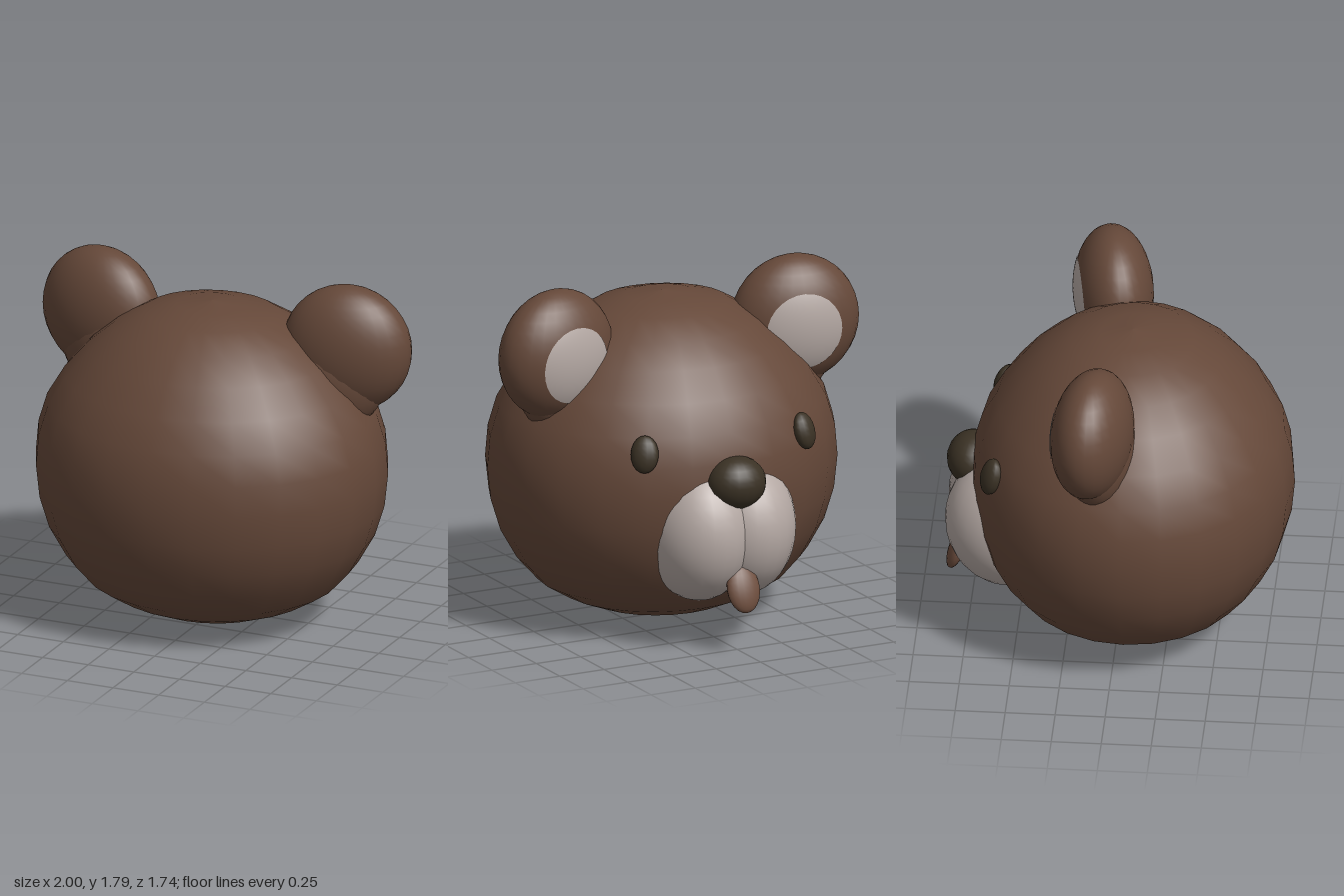
import * as THREE from 'three';

export function createModel() {
  const group = new THREE.Group();
  const mat = (name, color) => new THREE.MeshStandardMaterial({ name, color });
  const brown = mat('brown fur', 0x654839);
  const cream = mat('pale fur', 0xb5a9a4);
  const dark = mat('dark nose and eyes', 0x3a3124);
  const pink = mat('tongue brown', 0x6e4e3e);

  function add(name, geometry, material, pos, rot = [0, 0, 0]) {
    const mesh = new THREE.Mesh(geometry, material);
    mesh.name = name;
    mesh.position.set(...pos);
    mesh.rotation.set(...rot);
    group.add(mesh);
    return mesh;
  }
  const ellipsoid = (rx, ry, rz, w = 28, h = 18) =>
    new THREE.SphereGeometry(1, w, h).scale(rx, ry, rz);

  // Head: rounded profile, fuller at the bottom, slightly wider than deep
  const profile = [
    [0, 0], [0.215, 0.025], [0.39, 0.06], [0.56, 0.12], [0.71, 0.2], [0.83, 0.32],
    [0.925, 0.47], [0.98, 0.63], [1, 0.8], [0.985, 0.96], [0.935, 1.11], [0.835, 1.26],
    [0.7, 1.4], [0.555, 1.51], [0.38, 1.6], [0.2, 1.64], [0, 1.66],
  ].map(([r, y]) => new THREE.Vector2(r, y));
  add('head', new THREE.LatheGeometry(profile, 24).scale(0.9, 1, 0.81), brown, [0, 0, 0.06]);

  // Paired parts; the face looks towards -z
  for (const s of [-1, 1]) {
    const side = s > 0 ? 'left' : 'right';
    const yaw = s * 0.18;
    const earPos = [s * 0.673, 1.46, -0.09];
    add(side + 'Ear', ellipsoid(0.33, 0.33, 0.2), brown, earPos, [0, yaw, 0]);
    add(side + 'EarBase', ellipsoid(0.3, 0.29, 0.18), brown, [s * 0.58, 1.31, -0.05], [0, yaw, 0]);

    // Pale inner ear: a shallow cap lying on the front of the ear
    const cap = new THREE.SphereGeometry(1.015, 28, 8, 0, Math.PI * 2, 0, 0.63)
      .rotateX(-Math.PI / 2 - 0.1)
      .scale(0.33, 0.33, 0.2);
    add(side + 'InnerEar', cap, cream, earPos, [0, yaw, 0]);

    // Muzzle lobes meet in a centre groove
    add(side + 'Muzzle', ellipsoid(0.27, 0.36, 0.32), cream, [s * 0.12, 0.59, -0.55]);

    // Eyes lie flat on the head surface
    add(side + 'Eye', ellipsoid(0.07, 0.095, 0.045, 14, 10), dark,
      [s * 0.45, 1.04, -0.615], [0.28, -s * 0.55, 0, 'YXZ']);
  }

  add('nose', ellipsoid(0.155, 0.135, 0.13, 20, 14), dark, [0, 0.865, -0.74]);

  // Tongue: flat rounded slab hanging from the mouth
  add('tongue', ellipsoid(0.09, 0.125, 0.042, 18, 12), pink, [0, 0.335, -0.815], [0.34, 0, 0]);

  return group;
}
